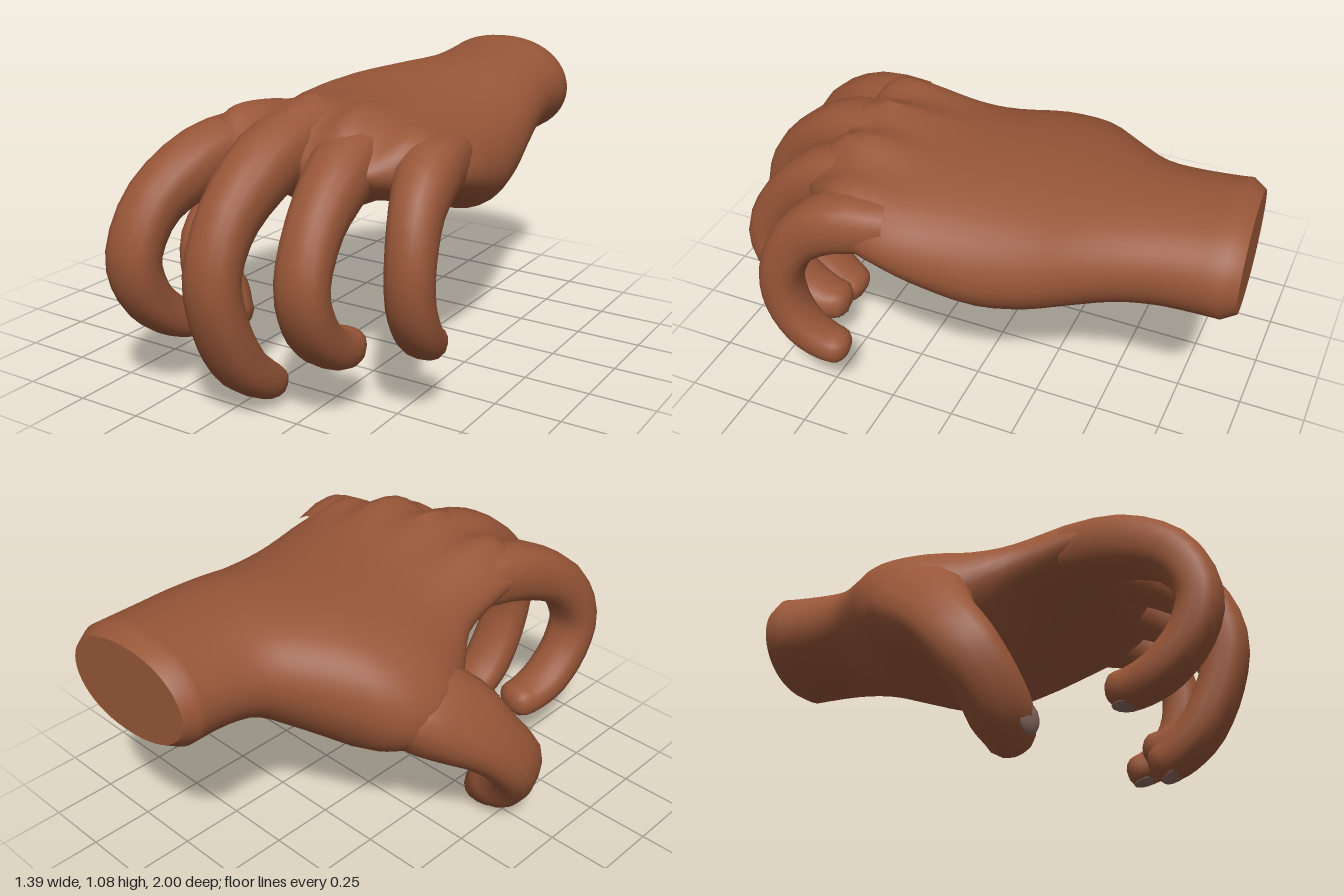
import * as THREE from 'three';
import { toCreasedNormals } from 'three/addons/utils/BufferGeometryUtils.js';

const skin = new THREE.MeshStandardMaterial({ color: 0x985638 });
const nailSkin = new THREE.MeshStandardMaterial({ color: 0x8a6a60 });
const SIDES = 16;

// Smoothly resample rows of numbers, column by column
function resample(rows, steps) {
  const out = [], last = rows.length - 1;
  for (let s = 0; s <= last * steps; s++) {
    const i = Math.min(Math.floor(s / steps), last - 1), t = s / steps - i;
    const at = (k) => rows[Math.max(0, Math.min(last, k))];
    out.push(rows[0].map((_, c) => {
      const a = at(i - 1)[c], b = at(i)[c], d = at(i + 1)[c], e = at(i + 2)[c];
      const m0 = (d - a) / 2, m1 = (e - b) / 2;
      return b + m0 * t + (3 * (d - b) - 2 * m0 - m1) * t * t + (2 * (b - d) + m0 + m1) * t * t * t;
    }));
  }
  return out;
}

// Skin a list of closed rings; cap the last end, and the first if asked
function loft(rings, capStart) {
  const n = rings[0].length, pos = [], idx = [];
  rings.forEach((r) => r.forEach((p) => pos.push(p.x, p.y, p.z)));
  for (let i = 0; i < rings.length - 1; i++) {
    for (let j = 0; j < n; j++) {
      const a = i * n + j, b = i * n + (j + 1) % n;
      idx.push(a, b, a + n, b, b + n, a + n);
    }
  }
  const cap = (ri, atEnd) => {
    const c = new THREE.Vector3();
    rings[ri].forEach((p) => c.addScaledVector(p, 1 / n));
    const ci = pos.length / 3;
    pos.push(c.x, c.y, c.z);
    for (let j = 0; j < n; j++) {
      const a = ri * n + j, b = ri * n + (j + 1) % n;
      if (atEnd) idx.push(a, b, ci); else idx.push(b, a, ci);
    }
  };
  cap(rings.length - 1, true);
  if (capStart) cap(0, false);
  const g = new THREE.BufferGeometry();
  g.setAttribute('position', new THREE.Float32BufferAttribute(pos, 3));
  g.setIndex(idx);
  return toCreasedNormals(g, 0.75);
}

// Rows are x, y, z, half width, half thickness; axis is the hinge direction
function makeDigit(name, rows, axis, { back = 0.015, turn = 0, lift = 0.86 } = {}) {
  const group = new THREE.Group();
  group.name = name;
  const path = resample(rows, 3), rings = [];
  const frame = (i) => {
    const at = (k) => new THREE.Vector3(...path[Math.max(0, Math.min(path.length - 1, k))]);
    const t = at(i + 1).sub(at(i - 1)).normalize();
    const w = axis.clone().addScaledVector(t, -axis.dot(t)).normalize();
    return { p: at(i), t, w, n: t.clone().cross(w) };
  };
  const addRing = (f, hw, hh, forward) => {
    const ring = [];
    for (let j = 0; j < SIDES; j++) {
      const a = (j / SIDES) * Math.PI * 2, q = (v) => Math.sign(v) * Math.abs(v) ** 0.8;
      ring.push(f.p.clone().addScaledVector(f.t, forward)
        .addScaledVector(f.w, q(Math.cos(a)) * hw).addScaledVector(f.n, q(Math.sin(a)) * hh));
    }
    rings.push(ring);
  };
  path.forEach((r, i) => addRing(frame(i), r[3], r[4], 0));
  // rounded tip
  const end = path.length - 1, [, , , hw, hh] = path[end], tip = frame(end);
  [0.45, 0.9, 1.25].forEach((a) => addRing(tip, hw * Math.cos(a), hh * Math.cos(a), hh * 0.85 * Math.sin(a)));
  const flesh = new THREE.Mesh(loft(rings, false), skin);
  flesh.name = name + 'Flesh';
  // nail on the back of the tip
  const nail = new THREE.Mesh(new THREE.SphereGeometry(1, 12, 8), nailSkin);
  nail.name = name + 'Nail';
  const up = tip.n.clone().applyAxisAngle(tip.t, -turn), side = tip.w.clone().applyAxisAngle(tip.t, -turn);
  const place = tip.p.clone().addScaledVector(up, hh * lift).addScaledVector(tip.t, -back);
  nail.applyMatrix4(new THREE.Matrix4().makeBasis(side.multiplyScalar(hw * 0.65),
    up.multiplyScalar(hh * 0.18), tip.t.clone().multiplyScalar(0.055)).setPosition(place));
  group.add(flesh, nail);
  return group;
}

// Palm, knuckles, back of the hand and wrist in one skin
function makePalm() {
  // z, left edge x, right edge x, left edge y, right edge y, top, bottom, hollow of the palm, knuckle height
  const sections = resample([
    [-0.93, -0.13, 0.46, 0.86, 0.87, 1.075, 0.66, 0, 0],
    [-0.75, -0.13, 0.475, 0.85, 0.87, 1.06, 0.66, 0, 0],
    [-0.6, -0.17, 0.5, 0.82, 0.85, 1.05, 0.635, 0.01, 0],
    [-0.45, -0.32, 0.53, 0.75, 0.81, 1.04, 0.55, 0.05, 0],
    [-0.3, -0.48, 0.56, 0.67, 0.76, 1.025, 0.465, 0.1, 0],
    [-0.12, -0.52, 0.595, 0.65, 0.74, 1.01, 0.44, 0.12, 0],
    [0.05, -0.43, 0.62, 0.7, 0.76, 1.005, 0.52, 0.1, 0],
    [0.2, -0.33, 0.635, 0.8, 0.8, 1.005, 0.62, 0.06, 0.015],
    [0.38, -0.31, 0.61, 0.85, 0.84, 1.0, 0.69, 0.02, 0.055],
    [0.5, -0.31, 0.51, 0.87, 0.85, 0.965, 0.73, 0, 0.07],
    [0.57, -0.28, 0.43, 0.87, 0.85, 0.925, 0.77, 0, 0.05],
    [0.61, -0.22, 0.37, 0.86, 0.85, 0.88, 0.82, 0, 0],
  ], 3);
  // bevelled cut at the wrist
  sections.unshift([-0.98, -0.1, 0.43, 0.86, 0.87, 1.045, 0.69, 0, 0]);
  const knuckles = [-0.18, 0.075, 0.295, 0.52];
  const rings = sections.map(([z, xl, xr, yl, yr, top, bottom, hollow, ridge], i) => {
    const ring = [], mid = (yl + yr) / 2, n = SIDES * 3;
    for (let j = 0; j < n; j++) {
      const a = (j / n) * Math.PI * 2, s = Math.sin(a);
      const c = Math.sign(Math.cos(a)) * Math.abs(Math.cos(a)) ** 0.9;
      const k = (1 + c) / 2, x = xl + (xr - xl) * k;
      const slant = i < 2 ? 0.02 - 0.04 * k : 0;
      const arch = hollow * Math.max(0, -s) * Math.exp(-(((k - 0.62) / 0.22) ** 2));
      const bump = ridge * Math.max(0, s) * Math.max(...knuckles.map((kx) => Math.exp(-(((x - kx) / 0.08) ** 2))));
      ring.push(new THREE.Vector3(x,
        yl + (yr - yl) * k + s * (s > 0 ? top - mid : mid - bottom) + arch + bump, z + slant));
    }
    return ring;
  });
  const palm = new THREE.Mesh(loft(rings, true), skin);
  palm.name = 'palmAndWrist';
  return palm;
}

export function createModel() {
  const hand = new THREE.Group();
  hand.name = 'hand';
  hand.add(makePalm());
  const across = new THREE.Vector3(1, 0, 0);
  hand.add(makeDigit('indexFinger', [
    [-0.18, 0.86, 0.42, 0.12, 0.11], [-0.225, 0.83, 0.62, 0.115, 0.115],
    [-0.28, 0.72, 0.815, 0.1, 0.095], [-0.305, 0.55, 0.905, 0.098, 0.082], [-0.305, 0.4, 0.87, 0.096, 0.08],
    [-0.295, 0.29, 0.77, 0.095, 0.076], [-0.28, 0.245, 0.67, 0.09, 0.07], [-0.27, 0.24, 0.61, 0.085, 0.065],
  ], across));
  hand.add(makeDigit('middleFinger', [
    [0.075, 0.92, 0.42, 0.12, 0.115], [0.06, 0.865, 0.63, 0.12, 0.115],
    [0.045, 0.72, 0.825, 0.1, 0.1], [0.04, 0.54, 0.915, 0.097, 0.085], [0.045, 0.36, 0.89, 0.1, 0.08],
    [0.05, 0.2, 0.81, 0.104, 0.08], [0.055, 0.115, 0.72, 0.1, 0.075], [0.055, 0.08, 0.66, 0.09, 0.065],
  ], across));
  hand.add(makeDigit('ringFinger', [
    [0.29, 0.885, 0.4, 0.115, 0.115], [0.31, 0.84, 0.57, 0.112, 0.11],
    [0.325, 0.71, 0.74, 0.096, 0.09], [0.335, 0.54, 0.83, 0.093, 0.076], [0.335, 0.39, 0.79, 0.096, 0.074],
    [0.33, 0.29, 0.7, 0.1, 0.074], [0.33, 0.25, 0.62, 0.095, 0.07], [0.325, 0.245, 0.57, 0.085, 0.065],
  ], across));
  hand.add(makeDigit('littleFinger', [
    [0.5, 0.85, 0.22, 0.11, 0.1], [0.55, 0.845, 0.4, 0.11, 0.11],
    [0.585, 0.75, 0.54, 0.088, 0.092], [0.605, 0.6, 0.61, 0.082, 0.078], [0.605, 0.46, 0.605, 0.082, 0.075],
    [0.6, 0.35, 0.55, 0.082, 0.07], [0.585, 0.285, 0.48, 0.078, 0.065], [0.575, 0.265, 0.43, 0.072, 0.06],
  ], across));
  hand.add(makeDigit('thumb', [
    [-0.27, 0.69, -0.28, 0.1, 0.1], [-0.38, 0.655, -0.15, 0.17, 0.14], [-0.49, 0.575, -0.03, 0.17, 0.12],
    [-0.58, 0.465, 0.07, 0.13, 0.09], [-0.605, 0.34, 0.165, 0.12, 0.09], [-0.54, 0.225, 0.22, 0.115, 0.11],
    [-0.47, 0.14, 0.24, 0.112, 0.115], [-0.42, 0.085, 0.25, 0.09, 0.095],
  ], new THREE.Vector3(0.27, 0.48, 0.83), { back: 0.035, turn: 0.8, lift: 1.03 }));
  return hand;
}
